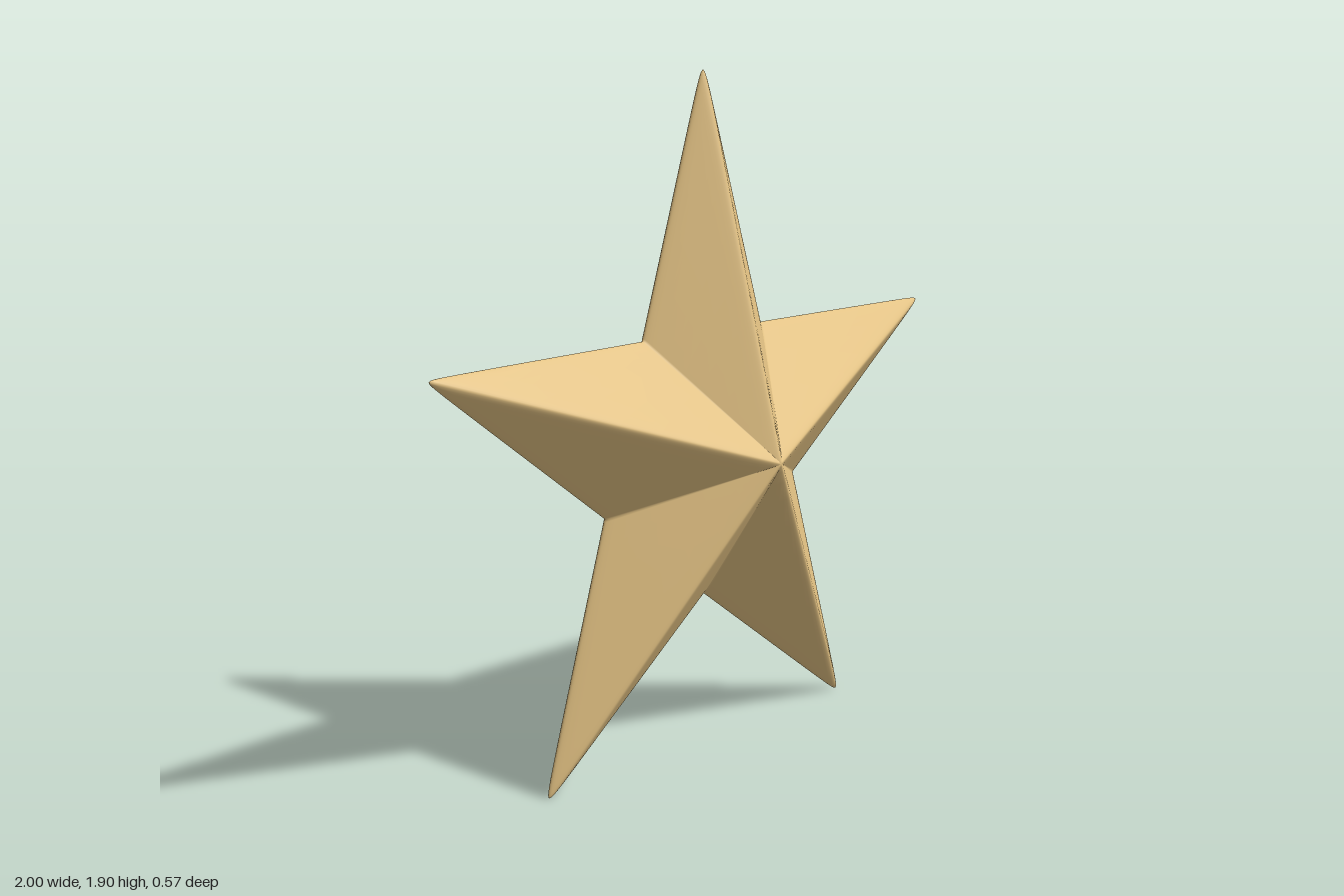
import * as THREE from 'three';

const ARMS = 5, CENTER_Y = 0.852;
const TIP = 1.10, NOTCH = 0.425, DEPTH = 0.29; // sharp star before its edges are softened
const SOFT = 0.007; // softening of ridges and rim

// Plane of one facet: nx*x + ny*|y| + nz*|z| = 1, with x along the arm
const nx = 1 / TIP;
const ny = (1 - nx * NOTCH * Math.cos(Math.PI / ARMS)) / (NOTCH * Math.sin(Math.PI / ARMS));
const nz = 1 / DEPTH;
const soft = (v) => Math.hypot(v, SOFT);

// Distance from the centre to the softened surface in direction (x, y, z)
function reach(x, y, z) {
  let lo = 0, hi = 2;
  for (let i = 0; i < 40; i++) {
    const t = (lo + hi) / 2;
    if (nx * x * t + ny * soft(y * t) + nz * soft(z * t) < 1) lo = t;
    else hi = t;
  }
  return lo;
}

function starGeometry() {
  // Angles in degrees, dense around ridges, notches, rim and peaks
  const half = [0, 0.25, 0.6, 1, 1.6, 2.5, 4, 7, 12, 20, 28, 33, 35.2, 36];
  const sector = [...half.slice(1, -1).reverse().map((a) => -a), ...half];
  const north = [0, 0.15, 0.35, 0.6, 1, 1.6, 2.5, 4, 6, 10, 16, 25, 40, 60, 75, 84, 88];
  const lats = [...north.slice(1).reverse().map((a) => -a), ...north];
  const cols = ARMS * sector.length, rows = lats.length;
  const pos = [], index = [];

  for (const lat of lats) {
    const p = THREE.MathUtils.degToRad(lat);
    for (let arm = 0; arm < ARMS; arm++) {
      const turn = Math.PI / 2 + (arm * 2 * Math.PI) / ARMS;
      for (const deg of sector) {
        const a = THREE.MathUtils.degToRad(deg);
        const t = reach(Math.cos(p) * Math.cos(a), Math.cos(p) * Math.sin(a), Math.sin(p));
        const r = t * Math.cos(p);
        pos.push(r * Math.cos(turn + a), r * Math.sin(turn + a), t * Math.sin(p));
      }
    }
  }
  // Back and front peaks
  const peak = reach(0, 0, 1), back = rows * cols, front = back + 1;
  pos.push(0, 0, -peak, 0, 0, peak);

  for (let c = 0; c < cols; c++) {
    const d = (c + 1) % cols;
    for (let r = 0; r < rows - 1; r++) {
      const a = r * cols + c, b = r * cols + d;
      index.push(a, b, b + cols, a, b + cols, a + cols);
    }
    const last = (rows - 1) * cols;
    index.push(back, d, c, front, last + c, last + d);
  }
  const geo = new THREE.BufferGeometry();
  geo.setAttribute('position', new THREE.Float32BufferAttribute(pos, 3));
  geo.setIndex(index);
  geo.computeVertexNormals();
  return geo;
}

export function createModel() {
  const group = new THREE.Group();
  group.name = 'star';
  const body = new THREE.Mesh(starGeometry(), new THREE.MeshStandardMaterial({ color: 0xe3c283 }));
  body.name = 'starBody';
  body.position.y = CENTER_Y;
  group.add(body);
  return group;
}
